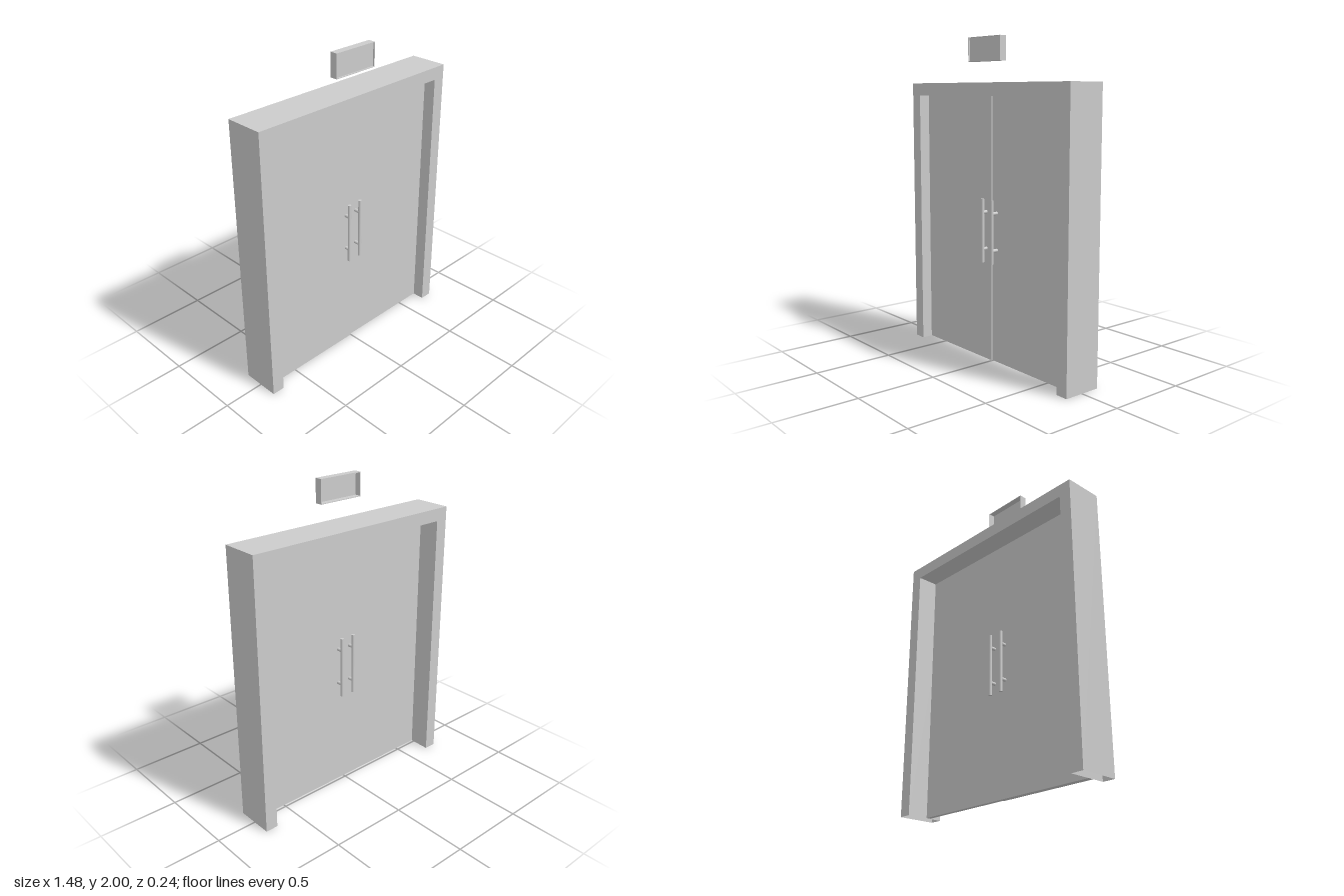
import * as THREE from 'three';

const material = new THREE.MeshStandardMaterial({ color: 0xcccccc, side: THREE.DoubleSide });

export function createModel() {
  const model = new THREE.Group();
  model.name = 'doubleDoor';

  const add = (name, geometry, x = 0, y = 0, z = 0, parent = model) => {
    const mesh = new THREE.Mesh(geometry, material);
    mesh.name = name;
    mesh.position.set(x, y, z);
    parent.add(mesh);
    return mesh;
  };
  // Box given by its limits on each axis
  const addBox = (name, [x0, x1], [y0, y1], [z0, z1], parent) =>
    add(name, new THREE.BoxGeometry(x1 - x0, y1 - y0, z1 - z0),
      (x0 + x1) / 2, (y0 + y1) / 2, (z0 + z1) / 2, parent);

  // Door frame: hollow U-shaped casing, open at the floor
  const W = 0.74, H = 1.73, w = 0.66, h = 1.65, D = 0.244;
  const outline = new THREE.Shape([
    [-W, 0], [-w, 0], [-w, h], [w, h], [w, 0], [W, 0], [W, H], [-W, H],
  ].map(([x, y]) => new THREE.Vector2(x, y)));
  const solid = new THREE.ExtrudeGeometry(outline, { depth: D, bevelEnabled: false });
  const p = solid.attributes.position;
  const kept = [];
  for (let i = 0; i < p.count; i += 3) {
    const top = Math.max(p.getY(i), p.getY(i + 1), p.getY(i + 2));
    if (top > 1e-4) kept.push(i, i + 1, i + 2); // drop the floor faces
  }
  solid.setIndex(kept);
  solid.clearGroups();
  add('frame', solid, 0, 0, -D / 2);

  // Door leaves, flush at the back, the right one slightly proud in front
  const back = 0.016;
  const leaves = [
    { side: 'right', x: [-w, 0], front: 0.052, handleX: -0.048 },
    { side: 'left', x: [0, w], front: 0.044, handleX: 0.043 },
  ];

  // Pull handle: round bar on two standoffs
  const addHandle = (name, x, doorZ, barZ) => {
    const handle = new THREE.Group();
    handle.name = name;
    model.add(handle);
    add('bar', new THREE.CylinderGeometry(0.0105, 0.0105, 0.395, 16), x, 0.828, barZ, handle);
    for (const dy of [-0.115, 0.115]) {
      const post = new THREE.CylinderGeometry(0.0105, 0.0105, Math.abs(barZ - doorZ), 16);
      post.rotateX(Math.PI / 2);
      add('standoff', post, x, 0.828 + dy, (barZ + doorZ) / 2, handle);
    }
  };

  for (const { side, x, front, handleX } of leaves) {
    addBox(side + 'Door', x, [0.002, h], [back, front]);
    addHandle(side + 'FrontHandle', handleX, front, 0.083);
    addHandle(side + 'BackHandle', handleX, back, -0.021);
  }

  // Sign above the door: thin rim around a panel set just behind its front
  const sign = new THREE.Group();
  sign.name = 'sign';
  model.add(sign);
  const sx = [-0.165, 0.135], sy = [1.855, 2], sz = [0.051, 0.098], t = 0.004;
  addBox('rimTop', sx, [sy[1] - t, sy[1]], sz, sign);
  addBox('rimBottom', sx, [sy[0], sy[0] + t], sz, sign);
  const inner = [sy[0] + t, sy[1] - t];
  addBox('rimRight', [sx[0], sx[0] + t], inner, sz, sign);
  addBox('rimLeft', [sx[1] - t, sx[1]], inner, sz, sign);
  addBox('panel', [sx[0] + t, sx[1] - t], inner, [0.087, 0.089], sign);

  return model;
}
